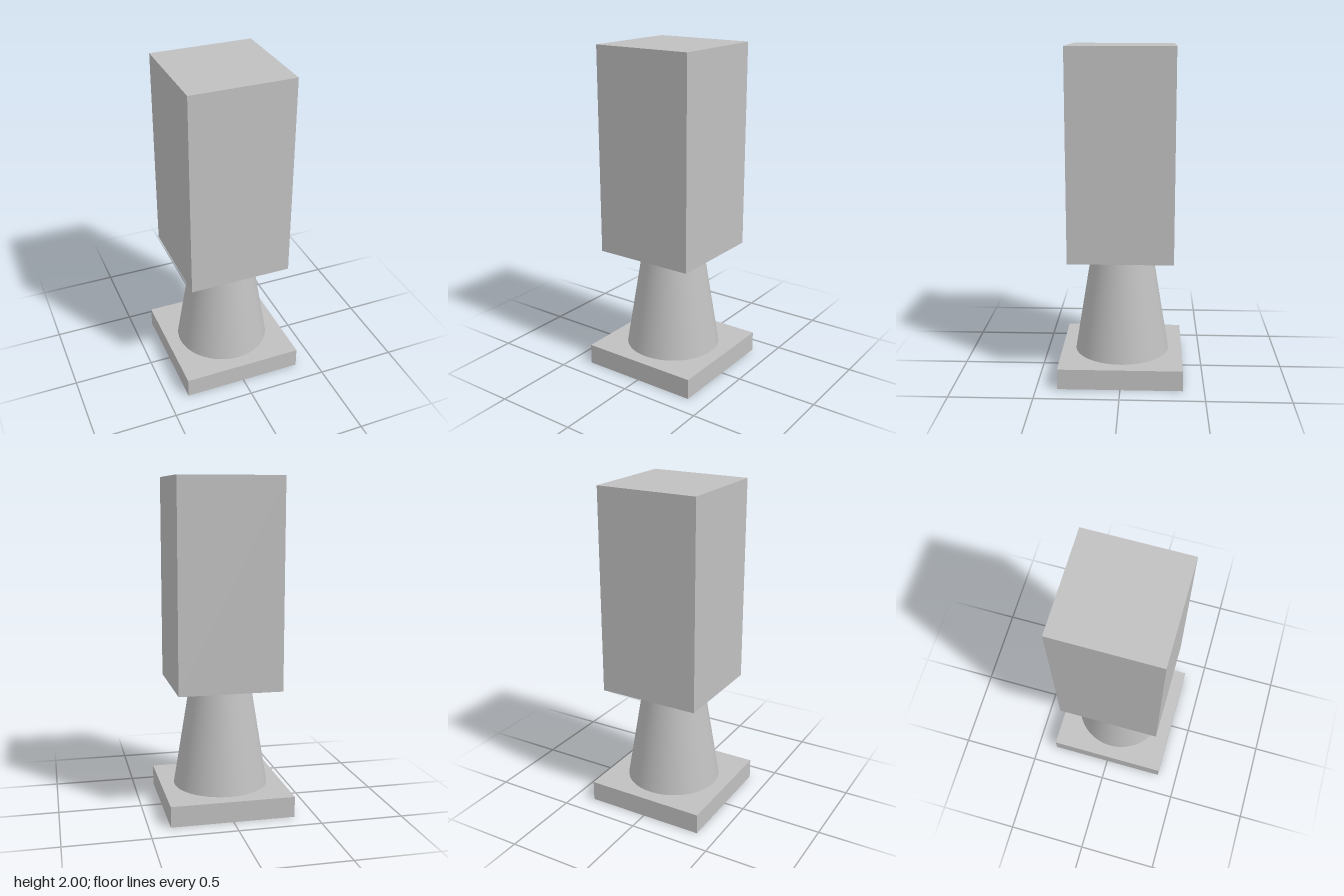
import * as THREE from 'three';

export function createModel() {
  const group = new THREE.Group();
  const grey = new THREE.MeshStandardMaterial({ color: 0xc0c0c0 });
  grey.name = 'light grey';

  // Adds a named part standing between two heights
  const add = (name, geometry, bottom, top) => {
    const mesh = new THREE.Mesh(geometry, grey);
    mesh.name = name;
    mesh.position.y = (bottom + top) / 2;
    group.add(mesh);
  };

  const baseTop = 0.125, neckTop = 0.757, height = 2;

  // Square foot plate
  add('base', new THREE.BoxGeometry(0.746, baseTop, 0.746), 0, baseTop);

  // Smooth tapered column
  add('taperedColumn',
    new THREE.CylinderGeometry(0.187, 0.29, neckTop - baseTop, 64, 1, true),
    baseTop, neckTop);

  // Tall square block on top
  add('upperBlock', new THREE.BoxGeometry(0.622, height - neckTop, 0.622), neckTop, height);

  return group;
}
